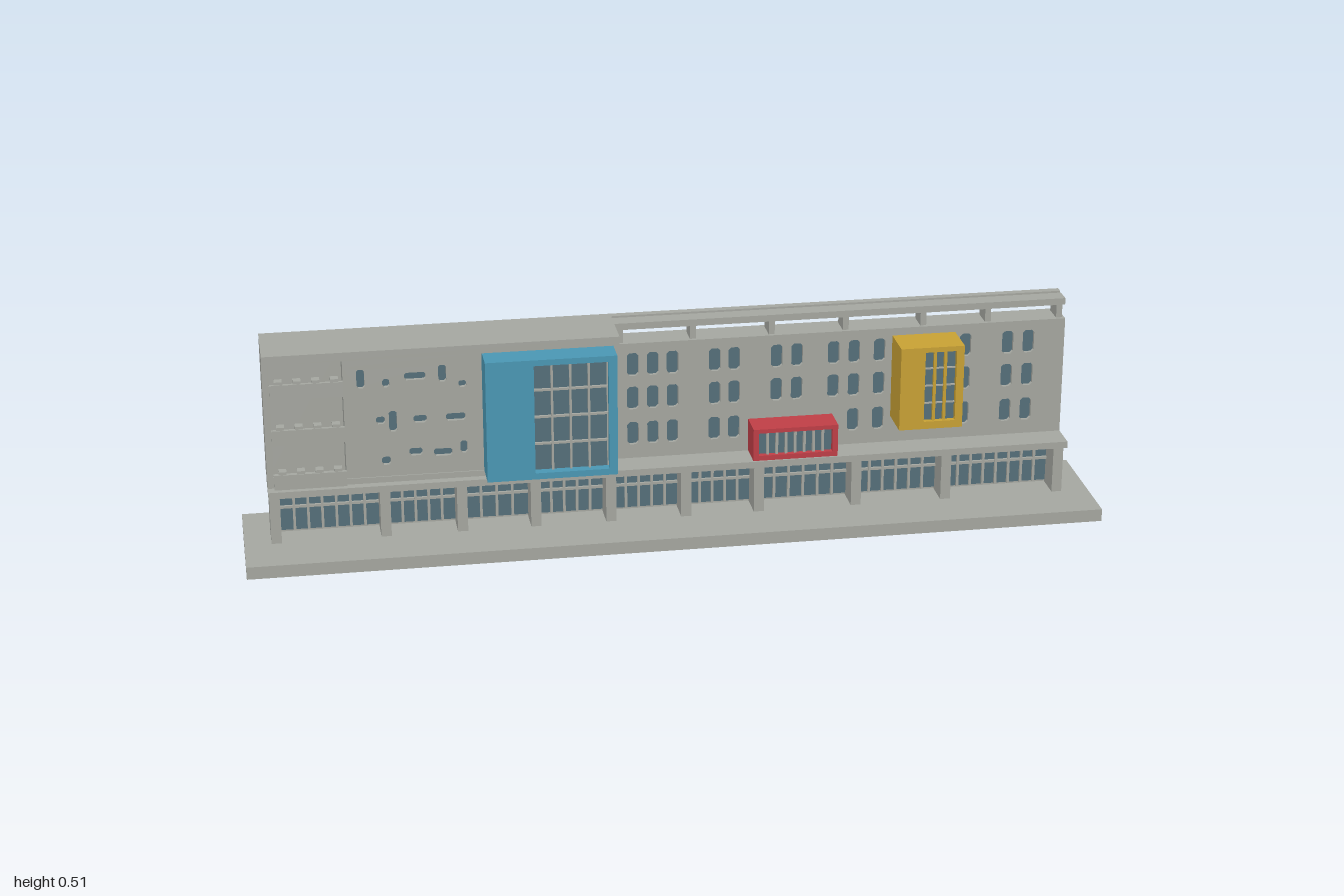
import * as THREE from 'three';

export function createModel() {
  const model = new THREE.Group();
  const mat = (name, color) => {
    const m = new THREE.MeshStandardMaterial({ color });
    m.name = name;
    return m;
  };
  const concrete = mat('concrete grey', 0xa7a9a2);
  const glass = mat('slate glass', 0x56707b);
  const blue = mat('blue cladding', 0x4b99b6);
  const yellow = mat('yellow cladding', 0xcaa335);
  const red = mat('red cladding', 0xc13f47);

  // Box given by its minimum and maximum on each axis
  function box(name, m, x0, x1, y0, y1, z0, z1) {
    const mesh = new THREE.Mesh(new THREE.BoxGeometry(x1 - x0, y1 - y0, z1 - z0), m);
    mesh.position.set((x0 + x1) / 2, (y0 + y1) / 2, (z0 + z1) / 2);
    mesh.name = name;
    model.add(mesh);
    return mesh;
  }

  // Opening with clipped corners
  function opening(cx, cy, w, h, c = 0.004) {
    const a = w / 2, b = h / 2;
    return new THREE.Path([
      [-a + c, -b], [a - c, -b], [a, -b + c], [a, b - c],
      [a - c, b], [-a + c, b], [-a, b - c], [-a, -b + c],
    ].map(([x, y]) => new THREE.Vector2(cx + x, cy + y)));
  }

  // Upright panel with openings, extruded from z0 to z1
  function panel(name, m, x0, x1, y0, y1, z0, z1, holes) {
    const s = new THREE.Shape([[x0, y0], [x1, y0], [x1, y1], [x0, y1]].map((p) => new THREE.Vector2(...p)));
    s.holes = holes;
    const mesh = new THREE.Mesh(new THREE.ExtrudeGeometry(s, { depth: z1 - z0, bevelEnabled: false }), m);
    mesh.position.z = z0;
    mesh.name = name;
    model.add(mesh);
  }
  const rectHole = (x0, x1, y0, y1) => opening((x0 + x1) / 2, (y0 + y1) / 2, x1 - x0, y1 - y0, 0.0005);

  // Evenly spaced bars across a front-facing window
  function mullions(m, x0, x1, y0, y1, z, cols, rows, t = 0.005) {
    for (let i = 1; i < cols; i++) {
      const x = x0 + (x1 - x0) * i / cols;
      box('mullion', m, x - t / 2, x + t / 2, y0, y1, z, z + 0.007);
    }
    for (let i = 1; i < rows; i++) {
      const y = y0 + (y1 - y0) * i / rows;
      box('transom', m, x0, x1, y - t / 2, y + t / 2, z, z + 0.006);
    }
  }

  // Plinth and ground floor
  box('plinth', concrete, -1, 1, 0, 0.03, -0.15, 0.15);
  box('groundFloorCore', concrete, -0.935, 0.935, 0.03, 0.17, -0.08, -0.036);
  box('ledge', concrete, -0.94, 0.935, 0.154, 0.17, -0.05, 0.06);
  const columns = [-0.926, -0.674, -0.497, -0.326, -0.15, 0.027, 0.2, 0.433, 0.65, 0.923];
  columns.forEach((x, i) => {
    box('groundColumn', concrete, x - 0.012, x + 0.012, 0.03, 0.154, -0.06, 0.03);
    if (i === columns.length - 1) return;
    const a = x + 0.012, b = columns[i + 1] - 0.012;
    box('shopWindow', glass, a, b, 0.036, 0.154, -0.036, -0.031);
    mullions(concrete, a, b, 0.036, 0.154, -0.031, Math.round((b - a) / 0.033), 2, 0.006);
  });

  // Right wing: core, window sheet and pierced front wall
  box('rightWingCore', concrete, -0.17, 0.935, 0.17, 0.455, -0.08, -0.022);
  box('rightWingGlazing', glass, -0.125, 0.92, 0.18, 0.445, -0.0225, -0.019);
  const windows = [];
  for (const x of [-0.092, -0.045, 0.001, 0.1, 0.146, 0.246, 0.294, 0.381, 0.43, 0.49, 0.696, 0.798, 0.848]) {
    for (const y of [0.232, 0.32, 0.403]) {
      if (y < 0.25 && x > 0.17 && x < 0.39) continue;
      windows.push(opening(x, y, 0.027, 0.056, 0.006));
    }
  }
  panel('rightWingWall', concrete, -0.17, 0.935, 0.17, 0.455, -0.022, -0.01, windows);

  // Roof canopy on short posts
  box('backRail', concrete, -0.94, 0.935, 0.487, 0.505, -0.08, -0.062);
  box('frontRail', concrete, -0.135, 0.935, 0.487, 0.503, -0.055, -0.016);
  for (const x of [-0.12, 0.05, 0.235, 0.41, 0.595, 0.75, 0.922]) {
    box('canopyPost', concrete, x - 0.007, x + 0.007, 0.455, 0.488, -0.068, -0.018);
  }

  // Left wing
  box('leftWingCore', concrete, -0.76, -0.17, 0.17, 0.487, -0.08, 0.022);
  box('leftWingGlazing', glass, -0.75, -0.46, 0.18, 0.45, 0.0215, 0.027);
  const slots = [
    [-0.72, 0.425, 0.018, 0.045], [-0.663, 0.412, 0.016, 0.02], [-0.597, 0.425, 0.048, 0.018],
    [-0.535, 0.428, 0.018, 0.04], [-0.49, 0.4, 0.018, 0.016], [-0.678, 0.322, 0.02, 0.018],
    [-0.65, 0.318, 0.018, 0.05], [-0.588, 0.32, 0.03, 0.018], [-0.507, 0.32, 0.045, 0.018],
    [-0.668, 0.222, 0.02, 0.02], [-0.6, 0.24, 0.03, 0.018], [-0.538, 0.235, 0.042, 0.018],
    [-0.49, 0.245, 0.016, 0.03],
  ].map((s) => opening(...s));
  panel('leftWingWall', concrete, -0.76, -0.17, 0.17, 0.456, 0.022, 0.037, slots);
  box('leftWingBeam', concrete, -0.76, -0.135, 0.475, 0.487, -0.08, 0.04);
  box('leftWingFascia', concrete, -0.76, -0.17, 0.456, 0.487, 0.02, 0.04);
  box('leftWingSill', concrete, -0.76, -0.135, 0.17, 0.184, -0.01, 0.04);
  box('leftRoof', concrete, -0.94, -0.135, 0.487, 0.508, -0.062, 0.08);

  // Balconies at the left end, with a row of planters on each parapet
  box('balconyBackWall', concrete, -0.94, -0.76, 0.17, 0.487, -0.08, -0.015);
  box('endWall', concrete, -0.94, -0.925, 0.17, 0.487, -0.016, 0.035);
  for (const y of [0.172, 0.281, 0.391]) {
    box('balconyFloor', concrete, -0.925, -0.76, y, y + 0.012, -0.016, 0.05);
    box('balconyParapet', concrete, -0.925, -0.76, y, y + 0.036, 0.044, 0.052);
    for (let i = 0; i < 4; i++) {
      const x = -0.905 + i * 0.042;
      box('balconyPlanter', concrete, x - 0.009, x + 0.009, y + 0.012, y + 0.043, 0.03, 0.05);
    }
  }

  // Blue bay: solid left part, glazed front and right side
  panel('blueBayFrame', blue, -0.445, -0.145, 0.184, 0.475, 0.1, 0.112, [rectHole(-0.335, -0.165, 0.199, 0.461)]);
  box('blueBaySolid', blue, -0.445, -0.335, 0.184, 0.475, 0.022, 0.1);
  box('blueBayTop', blue, -0.335, -0.145, 0.461, 0.475, -0.015, 0.1);
  box('blueBayBottom', blue, -0.335, -0.145, 0.184, 0.199, -0.01, 0.1);
  box('blueBayGlazing', glass, -0.335, -0.166, 0.199, 0.461, -0.01, 0.09);
  mullions(concrete, -0.335, -0.166, 0.199, 0.461, 0.09, 4, 4);
  for (const z of [0.01, 0.05, 0.088]) {
    box('sideMullion', concrete, -0.167, -0.16, 0.199, 0.461, z - 0.003, z + 0.003);
  }
  for (let i = 1; i < 4; i++) {
    const y = 0.199 + 0.262 * i / 4;
    box('sideTransom', concrete, -0.167, -0.16, y - 0.0025, y + 0.0025, -0.01, 0.095);
  }

  // Yellow bay
  box('yellowBayBody', yellow, 0.52, 0.67, 0.235, 0.437, -0.012, 0.066);
  panel('yellowBayFrame', yellow, 0.52, 0.67, 0.235, 0.437, 0.066, 0.082, [rectHole(0.578, 0.652, 0.253, 0.425)]);
  box('yellowBayGlazing', glass, 0.578, 0.652, 0.253, 0.425, 0.065, 0.069);
  mullions(yellow, 0.578, 0.652, 0.253, 0.425, 0.069, 3, 1, 0.007);
  mullions(concrete, 0.578, 0.652, 0.253, 0.425, 0.068, 1, 4, 0.003);

  // Red bay
  box('redBayBody', red, 0.18, 0.38, 0.172, 0.25, -0.012, 0.044);
  panel('redBayFrame', red, 0.18, 0.38, 0.172, 0.25, 0.044, 0.06, [rectHole(0.193, 0.367, 0.184, 0.24)]);
  box('redBayGlazing', glass, 0.193, 0.367, 0.184, 0.24, 0.043, 0.047);
  mullions(concrete, 0.193, 0.367, 0.184, 0.24, 0.047, 8, 1, 0.006);

  return model;
}
